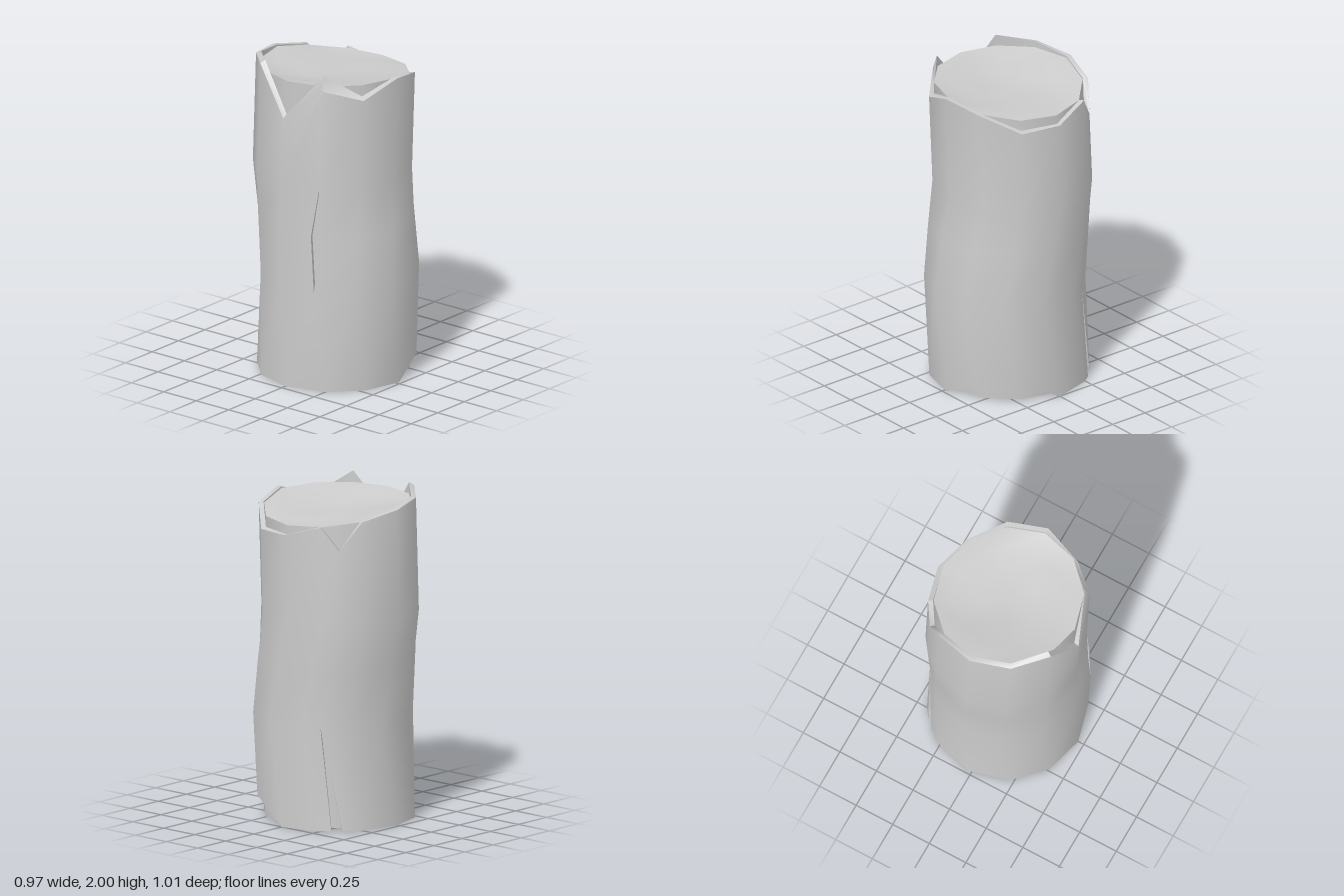
import * as THREE from 'three';
import { toCreasedNormals } from 'three/addons/utils/BufferGeometryUtils.js';

const lerp = THREE.MathUtils.lerp;

// Bends of the trunk: height, centre x, centre z, twist in degrees
const BENDS = [[0, 0.02, 0, 0], [0.65, 0.015, 0.03, 10], [1.3, 0.015, -0.03, 0], [1.95, 0.01, 0, 0]];

// Point on the bent trunk at an angle (from +x towards +z), height and radius
function trunkPoint(angle, y, r) {
  const i = y < 0.65 ? 0 : y < 1.3 ? 1 : 2;
  const [a, b] = [BENDS[i], BENDS[i + 1]];
  const t = (y - a[0]) / (b[0] - a[0]);
  const th = THREE.MathUtils.degToRad(angle + lerp(a[3], b[3], t));
  return [lerp(a[1], b[1], t) + r * Math.cos(th), y, lerp(a[2], b[2], t) + r * Math.sin(th)];
}

function makeMesh(name, triangles, crease) {
  const geo = new THREE.BufferGeometry();
  geo.setAttribute('position', new THREE.Float32BufferAttribute(triangles.flat(), 3));
  const mat = new THREE.MeshStandardMaterial({ color: 0xcccccc, side: THREE.DoubleSide });
  const mesh = new THREE.Mesh(toCreasedNormals(geo, crease), mat);
  mesh.name = name;
  return mesh;
}

// Bark shell: columns of [angle, outer top, inner top, bottom, gaps in degrees per level]
function makeBark() {
  const cols = [
    [-30, 1.86, 1.86, 0],
    [0, 1.79, 1.79, 0],
    [30, 1.78, 1.79, 0.14],
    [60, 1.89, 1.89, 0.11],
    [90, 1.935, 1.935, 0],
    [120, 1.84, 1.86, 0],
    [150, 1.91, 2.0, 0, [0, 0, 4, 0, 0]],
    [180, 1.7, 1.72, 0],
    [210, 1.98, 2.0, 0],
    [240, 1.96, 1.97, 0],
    [270, 1.935, 1.935, 0],
    [300, 1.89, 1.89, 0],
    [317, 1.72, 1.72, 0, [4, 0, 0, 0, 0]],
  ];
  // A cracked column becomes two edges that part where the gap is open
  const edges = [];
  for (const [angle, top, inTop, bottom, gaps] of cols) {
    for (const side of gaps ? [-1, 1] : [0]) {
      const line = (r, end) => [bottom, 0.63, 0.98, 1.28, end].map((y, k) =>
        trunkPoint(angle + side * (gaps ? gaps[k] : 0), y, r));
      edges.push({ side, out: line(0.482, top), inn: line(0.452, inTop) });
    }
  }
  const tris = [];
  const quad = (a, b, c, d) => tris.push(a, b, c, a, c, d);
  edges.forEach((e, i) => {
    const n = edges[(i + 1) % edges.length];
    const last = e.out.length - 1;
    for (let k = 0; k < last; k++) {
      if (e.side !== -1) {
        quad(n.out[k], e.out[k], e.out[k + 1], n.out[k + 1]);
        quad(e.inn[k], n.inn[k], n.inn[k + 1], e.inn[k + 1]);
      } else {
        // torn walls of the crack
        quad(e.inn[k], e.inn[k + 1], e.out[k + 1], e.out[k]);
        quad(n.out[k], n.out[k + 1], n.inn[k + 1], n.inn[k]);
      }
    }
    if (e.side !== -1) {
      quad(n.out[last], e.out[last], e.inn[last], n.inn[last]);
      quad(e.out[0], n.out[0], n.inn[0], e.inn[0]);
    }
  });
  return makeMesh('bark', tris.flat(), 0.75);
}

// Wooden core: closed rings from the base, up the side and across the dished top
function makeCore() {
  const SIDES = 12;
  const rimHeight = (angle) => Math.min(1.93, 1.925 - 0.08 * Math.cos(THREE.MathUtils.degToRad(angle)));
  const rings = [
    () => [0.01, 0], () => [0.01, 0.44], () => [0.65, 0.445], () => [1.3, 0.445],
    (a) => [rimHeight(a), 0.449],
    (a) => [lerp(rimHeight(a), 1.86, 0.35) + 0.015 * Math.sin(a * Math.PI / 60), 0.33],
    (a) => [lerp(rimHeight(a), 1.86, 0.8), 0.17],
    () => [1.865, 0],
  ];
  const tris = [];
  for (let i = 0; i < SIDES; i++) {
    const [a, b] = [i * 30, (i + 1) * 30];
    for (let k = 0; k < rings.length - 1; k++) {
      const at = (angle, ring) => trunkPoint(angle, ...ring(angle));
      const [p, q, r, s] = [at(b, rings[k]), at(a, rings[k]), at(a, rings[k + 1]), at(b, rings[k + 1])];
      if (k > 0) tris.push(p, q, r);
      if (k < rings.length - 2) tris.push(p, r, s);
    }
  }
  return makeMesh('woodCore', tris.flat(), 0.8);
}

export function createModel() {
  const log = new THREE.Group();
  log.name = 'log';
  log.add(makeCore(), makeBark());
  return log;
}
